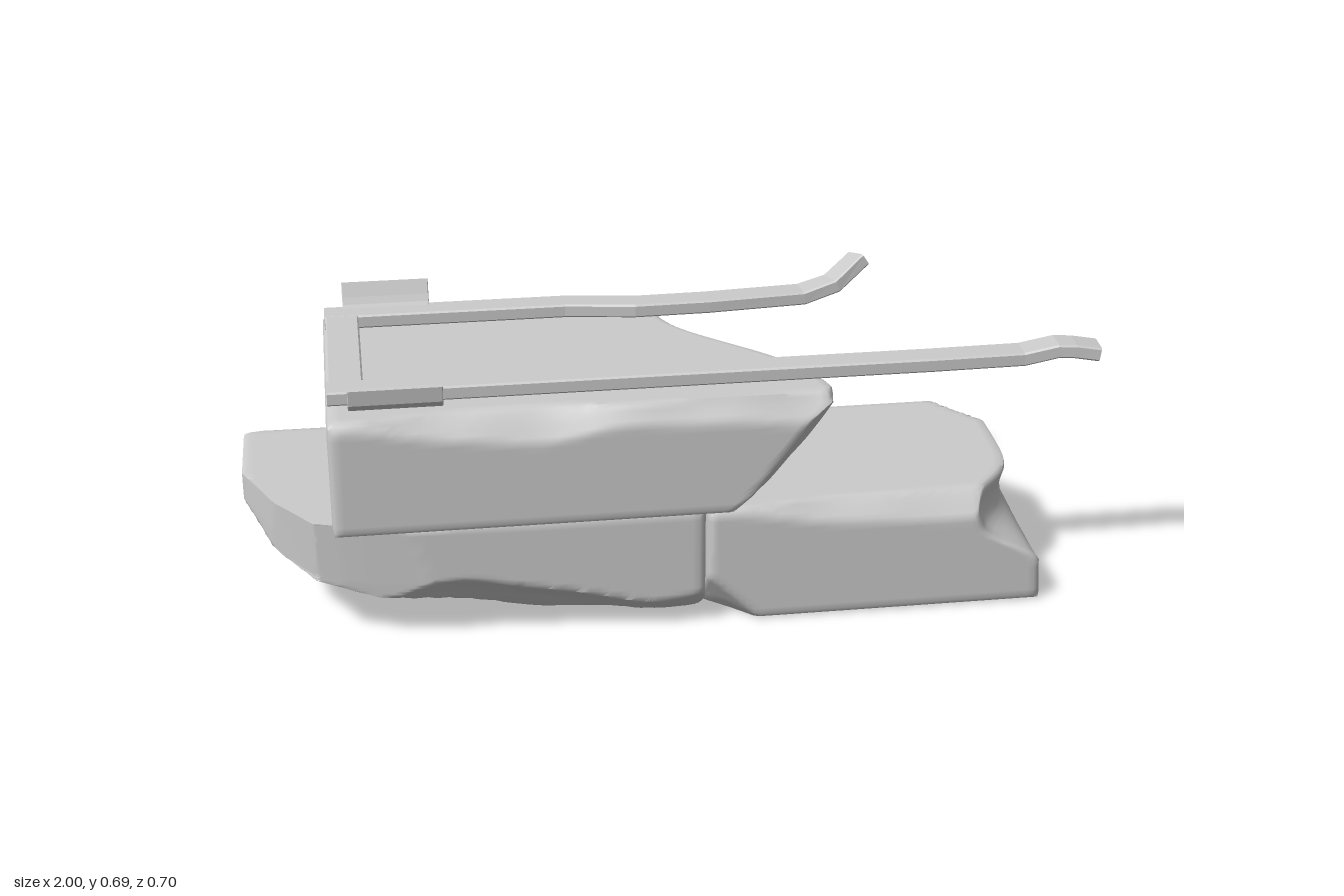
import * as THREE from 'three';
import { toCreasedNormals } from 'three/addons/utils/BufferGeometryUtils.js';

const grey = new THREE.MeshStandardMaterial({ color: 0xcccccc });
const V = (x, y, z) => new THREE.Vector3(x, y, z);

// Soft repeatable unevenness for broken stone
const wave = (p, k) =>
  0.55 * Math.sin(9 * p.x + 4 * p.y + k) + 0.35 * Math.sin(11 * p.z - 6 * p.x + 2 * k) + 0.12 * Math.sin(21 * p.x + 13 * p.z + 3 * k);

// Straight-line interpolation through [x, y] pairs
function along(pairs, x) {
  for (let i = 1; i < pairs.length; i++) {
    const [a, b] = [pairs[i - 1], pairs[i]];
    if (x <= b[0]) return a[1] + (b[1] - a[1]) * Math.max(0, (x - a[0]) / (b[0] - a[0]));
  }
  return pairs[pairs.length - 1][1];
}

// Stone: a fine box with eased edges, reshaped by a rule, then cut by uneven planes
function stone(name, min, max, shape, chips) {
  const size = max.clone().sub(min), mid = max.clone().add(min).multiplyScalar(0.5);
  const geo = new THREE.BoxGeometry(size.x, size.y, size.z, Math.round(size.x / 0.016), 20, 40);
  const pos = geo.attributes.position, p = V(0, 0, 0);
  for (let i = 0; i < pos.count; i++) {
    p.fromBufferAttribute(pos, i);
    const edge = ['x', 'y', 'z'].filter(a => Math.abs(Math.abs(p[a]) - size[a] / 2) < 1e-4);
    if (edge.length > 1) edge.forEach(a => { p[a] -= Math.sign(p[a]) * 0.005; });
    p.add(mid);
    shape(p);
    chips.forEach(([normal, point, rough], k) => {
      const n = normal.clone().normalize();
      const over = p.clone().sub(point).dot(n) - rough * wave(p, k * 1.7);
      if (over > 0) p.addScaledVector(n, -over);
    });
    pos.setXYZ(i, p.x, Math.min(p.y, max.y), p.z);
  }
  const mesh = new THREE.Mesh(toCreasedNormals(geo, 0.85), grey);
  mesh.name = name;
  return mesh;
}

// Bar: a chamfered rectangular section carried along a bent path
function bar(name, points, width, height, sideways) {
  const path = points.map(q => V(...q)), n = path.length - 1;
  const w = width / 2, h = height / 2, c = Math.min(w, h) * 0.25;
  const section = new THREE.Shape([[w, c - h], [w, h - c], [w - c, h], [c - w, h], [-w, h - c], [-w, c - h], [c - w, -h], [w - c, -h]]
    .map(q => new THREE.Vector2(...q)));
  const geo = new THREE.ExtrudeGeometry(section, { depth: n, steps: n, bevelEnabled: false });
  const pos = geo.attributes.position;
  for (let i = 0; i < pos.count; i++) {
    const k = Math.round(pos.getZ(i));
    const t = V(0, 0, 0);
    if (k > 0) t.add(path[k].clone().sub(path[k - 1]).normalize());
    if (k < n) t.add(path[k + 1].clone().sub(path[k]).normalize());
    t.normalize();
    const side = sideways.clone().addScaledVector(t, -sideways.dot(t)).normalize();
    const up = t.clone().cross(side);
    const p = path[k].clone().addScaledVector(side, pos.getX(i)).addScaledVector(up, pos.getY(i));
    pos.setXYZ(i, p.x, p.y, p.z);
  }
  geo.computeVertexNormals();
  const mesh = new THREE.Mesh(geo, grey);
  mesh.name = name;
  return mesh;
}

export function createModel() {
  const model = new THREE.Group();
  model.name = 'brokenStoneBlocks';

  // Upper block: its broken end slants under and runs diagonally across
  model.add(stone('upperBlock', V(-0.79, 0.3, -0.342), V(0.36, 0.58, 0.35), p => {
    const s = (p.y - 0.3) / 0.28, q = (p.z + 0.342) / 0.692, t = (p.x + 0.79) / 1.15;
    const top = 0.02 + 0.35 * q - 0.055 * Math.sin(2 * Math.PI * q) - 0.02 * Math.sin(Math.PI * q);
    const low = 0.08 + 0.04 * q;
    const end = low + (top - low) * s + 0.025 * Math.sin(Math.PI * s) + 0.012 * wave(p, 2);
    p.x = -0.79 + t * (end + 0.79);
    p.z += 0.012 * (1 - s) * (1 - q);
  }, [
    [V(0, 0.7, 1), V(0, 0.56, 0.328), 0.018],
    [V(1, 0.6, 0.4), V(0.355, 0.56, 0.3), 0.008],
    [V(1, 0.1, -0.8), V(0.06, 0.45, -0.3), 0.012],
    [V(0.6, -0.5, 0.8), V(0.18, 0.36, 0.335), 0.01]
  ]));

  // Lower left block: underside worn up to a thin ragged tip
  const underside = [[-1, 0.22], [-0.93, 0.165], [-0.68, 0.095], [-0.5, 0.055], [-0.35, 0.02], [0.06, 0.013]];
  model.add(stone('lowerLeftBlock', V(-1, 0.013, -0.287), V(0.062, 0.302, 0.317), p => {
    const s = (p.y - 0.013) / 0.289;
    const floor = along(underside, p.x) + (p.x < -0.1 ? 0.01 * (1 + wave(p, 1)) * (1 - s) : 0);
    p.y = floor + s * (0.302 - floor);
  }, [
    [V(-0.9, 0, 0.42), V(-0.968, 0.25, 0.045), 0.008],
    [V(-0.05, -0.75, 0.7), V(-0.3, 0.095, 0.288), 0.026],
    [V(-0.6, -0.8, 0.1), V(-0.97, 0.2, 0), 0.012],
    [V(0, -0.25, -1), V(-0.4, 0.12, -0.277), 0.012],
    [V(-0.81, -0.05, 0.58), V(-0.89, 0.28, 0.18), 0.01],
    [V(-0.3, -0.1, 1), V(-0.8, 0.28, 0.268), 0.008],
    [V(-0.45, -0.8, -0.6), V(-0.93, 0.19, -0.26), 0.015],
    [V(-0.35, 0, -1), V(-0.97, 0.2, -0.279), 0.005]
  ]));

  // Lower right block: stepped, scooped broken end and chipped edges
  const endProfile = [[0, 0.877], [0.11, 0.872], [0.15, 0.855], [0.2, 0.828], [0.24, 0.822], [0.29, 0.838]];
  model.add(stone('lowerRightBlock', V(0.067, 0, -0.26), V(0.877, 0.291, 0.308), p => {
    const t = (p.x - 0.067) / 0.81;
    const scoop = (0.05 + 0.25 * p.y) * Math.exp(-((p.z - 0.31) ** 2) / 0.014) * THREE.MathUtils.smoothstep(p.y, 0.1, 0.19);
    const end = along(endProfile, p.y) - scoop + 0.01 * wave(p, 4) * Math.min(1, p.y * 6);
    p.x = 0.067 + t * (end - 0.067);
  }, [
    [V(0.05, 0.8, 1), V(0.5, 0.265, 0.288), 0.012],
    [V(-0.6, -0.6, 0.6), V(0.12, 0.06, 0.295), 0.01],
    [V(0.8, 0.7, -0.5), V(0.815, 0.25, -0.2), 0.012],
    [V(0.2, -0.8, -0.8), V(0.8, 0.02, -0.25), 0.008],
    [V(1, 0, -0.2), V(0.83, 0.1, -0.25), 0.008]
  ]));

  // Metal frame: two long bent rails joined by a cross bar
  const across = V(0, 0, -1);
  model.add(bar('frontRail', [
    [-0.785, 0.597, 0.21], [0.6, 0.597, 0.21], [0.82, 0.599, 0.21], [0.9, 0.616, 0.215], [0.94, 0.614, 0.218], [0.998, 0.605, 0.223]
  ], 0.07, 0.033, across));
  model.add(bar('backRail', [
    [-0.785, 0.597, -0.258], [-0.2, 0.597, -0.258], [-0.03, 0.597, -0.232], [0.15, 0.597, -0.236],
    [0.39, 0.599, -0.252], [0.47, 0.62, -0.262], [0.545, 0.669, -0.3]
  ], 0.07, 0.033, across));
  model.add(bar('crossBar', [[-0.743, 0.597, -0.235], [-0.743, 0.597, 0.19]], 0.08, 0.032, V(1, 0, 0)));

  // Bent clips at the closed end of the frame
  const clips = [
    ['frontClip', [[0.235, 0.602], [0.268, 0.599], [0.296, 0.597], [0.307, 0.61], [0.311, 0.645]]],
    ['backClipHook', [[-0.346, 0.535], [-0.345, 0.578], [-0.335, 0.584], [-0.28, 0.592]]],
    ['backClipLip', [[-0.275, 0.607], [-0.298, 0.611], [-0.308, 0.63], [-0.322, 0.664]]]
  ];
  for (const [name, profile] of clips)
    model.add(bar(name, profile.map(([z, y]) => [-0.635, y, z]), 0.21, 0.013, V(1, 0, 0)));

  return model;
}
